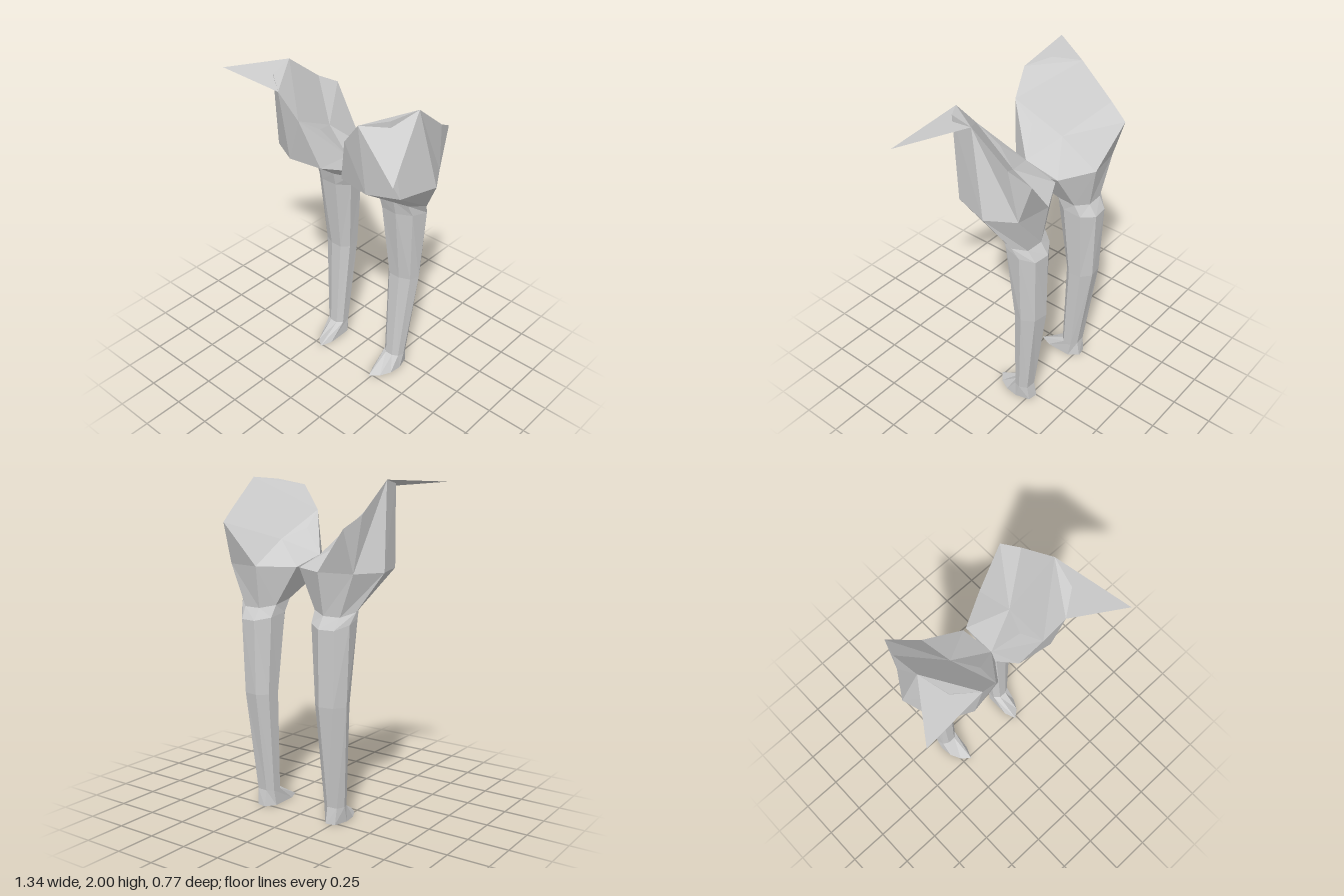
import * as THREE from 'three';

const AXIS = 0.02; // mirror plane of the two legs

// Cross-sections of the left leg, sole to hip: [x, y, z],
// starting on the outside and going round by the front
const rings = [
  [[0.335, 0, -0.18], [0.325, 0, -0.1], [0.29, 0, -0.03], [0.235, 0, 0.015],
    [0.205, 0, -0.06], [0.205, 0, -0.22], [0.25, 0, -0.28], [0.31, 0, -0.27]],
  [[0.338, 0.1, -0.21], [0.325, 0.1, -0.17], [0.29, 0.1, -0.15], [0.24, 0.1, -0.15],
    [0.207, 0.1, -0.18], [0.21, 0.1, -0.235], [0.25, 0.1, -0.262], [0.315, 0.1, -0.258]],
  [[0.385, 0.73, -0.265], [0.365, 0.73, -0.205], [0.3, 0.73, -0.175], [0.225, 0.73, -0.175],
    [0.183, 0.73, -0.22], [0.19, 0.73, -0.3], [0.25, 0.73, -0.35], [0.34, 0.73, -0.335]],
  [[0.41, 1.21, -0.275], [0.39, 1.23, -0.165], [0.31, 1.24, -0.105], [0.205, 1.24, -0.11],
    [0.15, 1.22, -0.19], [0.165, 1.2, -0.3], [0.25, 1.18, -0.355], [0.35, 1.18, -0.345]],
  [[0.43, 1.28, -0.24], [0.38, 1.31, -0.13], [0.31, 1.34, -0.08], [0.2, 1.33, -0.085],
    [0.135, 1.3, -0.16], [0.16, 1.27, -0.26], [0.25, 1.25, -0.305], [0.36, 1.25, -0.3]],
  [[0.555, 1.5, -0.15], [0.485, 1.5, 0.08], [0.31, 1.5, 0.165], [0.1, 1.5, 0.13],
    [0.02, 1.47, 0.02], [0.03, 1.5, -0.23], [0.24, 1.5, -0.345], [0.454, 1.5, -0.31]],
];

// Corners of the upper hip
const A = [0.495, 2, -0.04], K = [0.445, 1.985, 0.14], B = [0.31, 1.95, 0.235];
const C = [0.19, 1.8, 0.205], D = [0.165, 1.7, 0.06], E = [0.02, 1.555, -0.01];
const H = [0.44, 1.75, -0.39], I = [0.48, 1.82, -0.265], M = [0.24, 1.64, -0.1];
const [F, G, R7] = rings[5].slice(5);

// Flat-faced geometry from triangles; side -1 mirrors it
function facets(tris, side) {
  const pos = [];
  for (const t of tris) {
    const corners = side > 0 ? t : [t[0], t[2], t[1]];
    for (const [x, y, z] of corners) pos.push(AXIS + side * (x - AXIS), y, z);
  }
  const g = new THREE.BufferGeometry();
  g.setAttribute('position', new THREE.Float32BufferAttribute(pos, 3));
  g.computeVertexNormals();
  return g;
}

// Band of faces between two cross-sections, without collapsed triangles
function band(low, high) {
  const tris = [];
  low.forEach((b, i) => {
    const j = (i + 1) % low.length;
    if (high[i] !== b) tris.push([b, high[i], high[j]]);
    if (high[j] !== low[j]) tris.push([b, high[j], low[j]]);
  });
  return tris;
}

const fan = (c, loop) => loop.map((p, i) => [c, loop[(i + 1) % loop.length], p]);

function footTris() {
  const sole = fan([0.27, 0, -0.15], rings[0]).map(([c, j, i]) => [c, i, j]);
  return [...sole, ...band(rings[0], rings[1])];
}

const shinTris = () => [1, 2, 3].flatMap((k) => band(rings[k], rings[k + 1]));

function hipTris() {
  // outer walls, leaving out the back corner that is folded around H
  const walls = band(rings[5], [A, K, B, C, E, F, G, I])
    .filter((t) => !(t[0] === G && t[1] === I));
  return [
    ...band(rings[4], rings[5]),
    ...walls,
    [G, H, R7], [H, I, R7],
    [A, B, K], [A, C, B], [D, E, C], // shoulder and inner front fold
    ...fan(M, [A, C, D, E, F, G, H, I]), // sloping inner face
  ];
}

export function createModel() {
  const model = new THREE.Group();
  model.name = 'armoredLegs';
  const grey = new THREE.MeshStandardMaterial({ color: 0xcccccc });
  grey.name = 'light grey';
  grey.flatShading = true;
  grey.side = THREE.DoubleSide;

  for (const side of [1, -1]) {
    const leg = new THREE.Group();
    leg.name = side > 0 ? 'leftLeg' : 'rightLeg';
    // the hip spikes differ: the left droops, the right stays level
    const tip = side > 0 ? [0.672, 1.79, 0.383] : [0.712, 1.985, 0.272];
    const parts = { foot: footTris(), shin: shinTris(), hip: hipTris(), hipSpike: [[A, tip, B]] };
    for (const [name, tris] of Object.entries(parts)) {
      const mesh = new THREE.Mesh(facets(tris, side), grey);
      mesh.name = name;
      leg.add(mesh);
    }
    model.add(leg);
  }
  return model;
}
